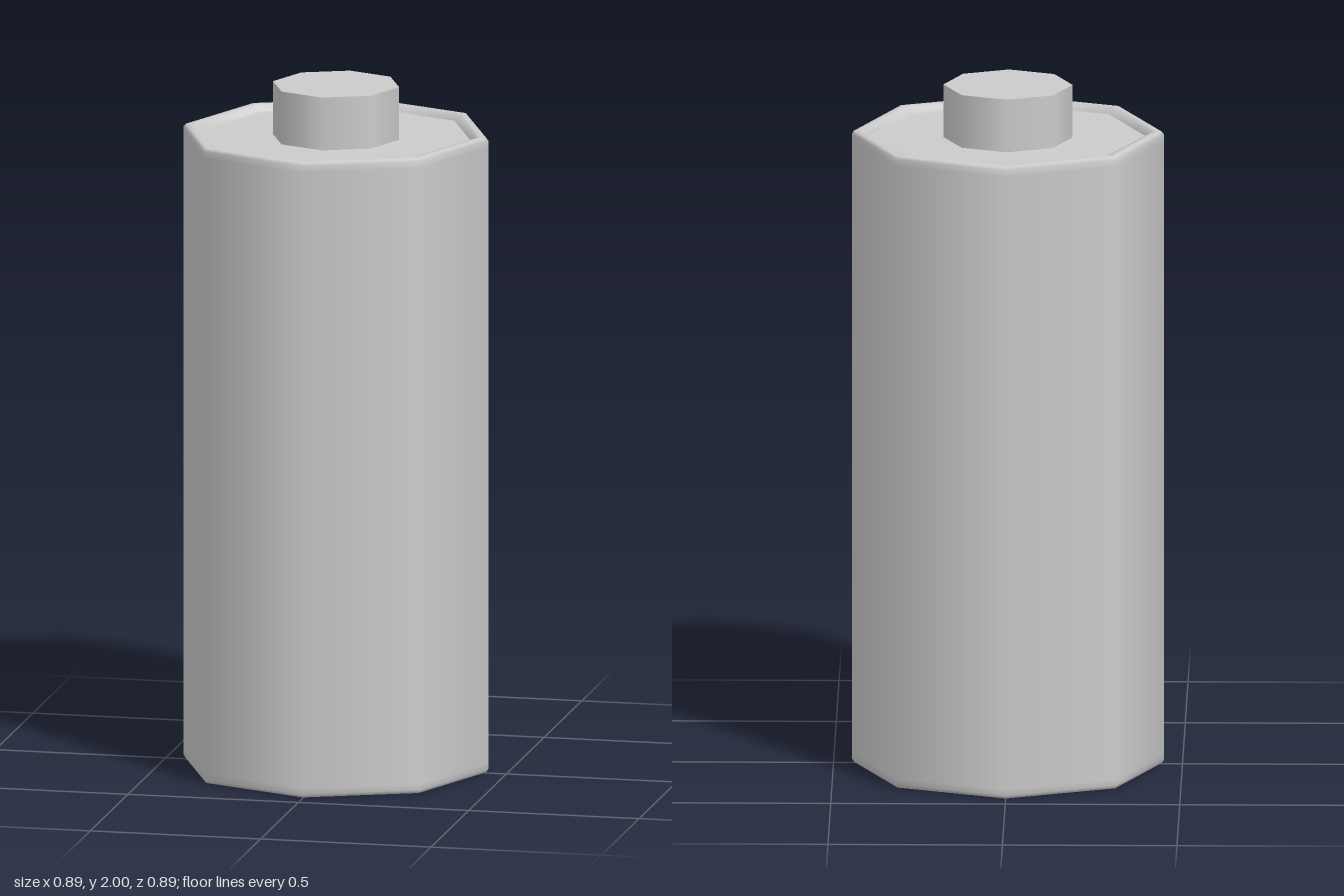
import * as THREE from 'three';

const SIDES = 8;

export function createModel() {
  const group = new THREE.Group();
  const material = new THREE.MeshStandardMaterial({ color: 0xcccccc });

  function add(name, geometry) {
    const mesh = new THREE.Mesh(geometry, material);
    mesh.name = name;
    group.add(mesh);
    return mesh;
  }

  // Eight-sided turned part; profile runs as [radius, height]
  const turned = (name, profile) =>
    add(name, new THREE.LatheGeometry(profile.map(([r, y]) => new THREE.Vector2(r, y)), SIDES));

  // Flat eight-sided plate with corners on the x and z axes
  function plate(name, radius, y, up) {
    const mesh = add(name, new THREE.CircleGeometry(radius, SIDES));
    mesh.rotation.x = up ? -Math.PI / 2 : Math.PI / 2;
    mesh.position.y = y;
  }

  // Outer case with softened lower and upper rims, folded inwards at both ends
  turned('case', [
    [0.402, 0.015], [0.41, 0.002], [0.425, 0], [0.441, 0.002], [0.447, 0.012], [0.447, 0.03],
    [0.447, 1.835], [0.447, 1.855], [0.441, 1.863], [0.425, 1.865], [0.412, 1.862], [0.402, 1.845],
  ]);
  plate('basePlate', 0.402, 0.015, false);

  // Recessed top plate running up into the contact button
  turned('topPlate', [[0.402, 1.845], [0.38, 1.843], [0.2, 1.843], [0.185, 1.845]]);
  turned('contactSide', [[0.185, 1.845], [0.185, 2]]);
  plate('contactTop', 0.185, 2, true);

  return group;
}
